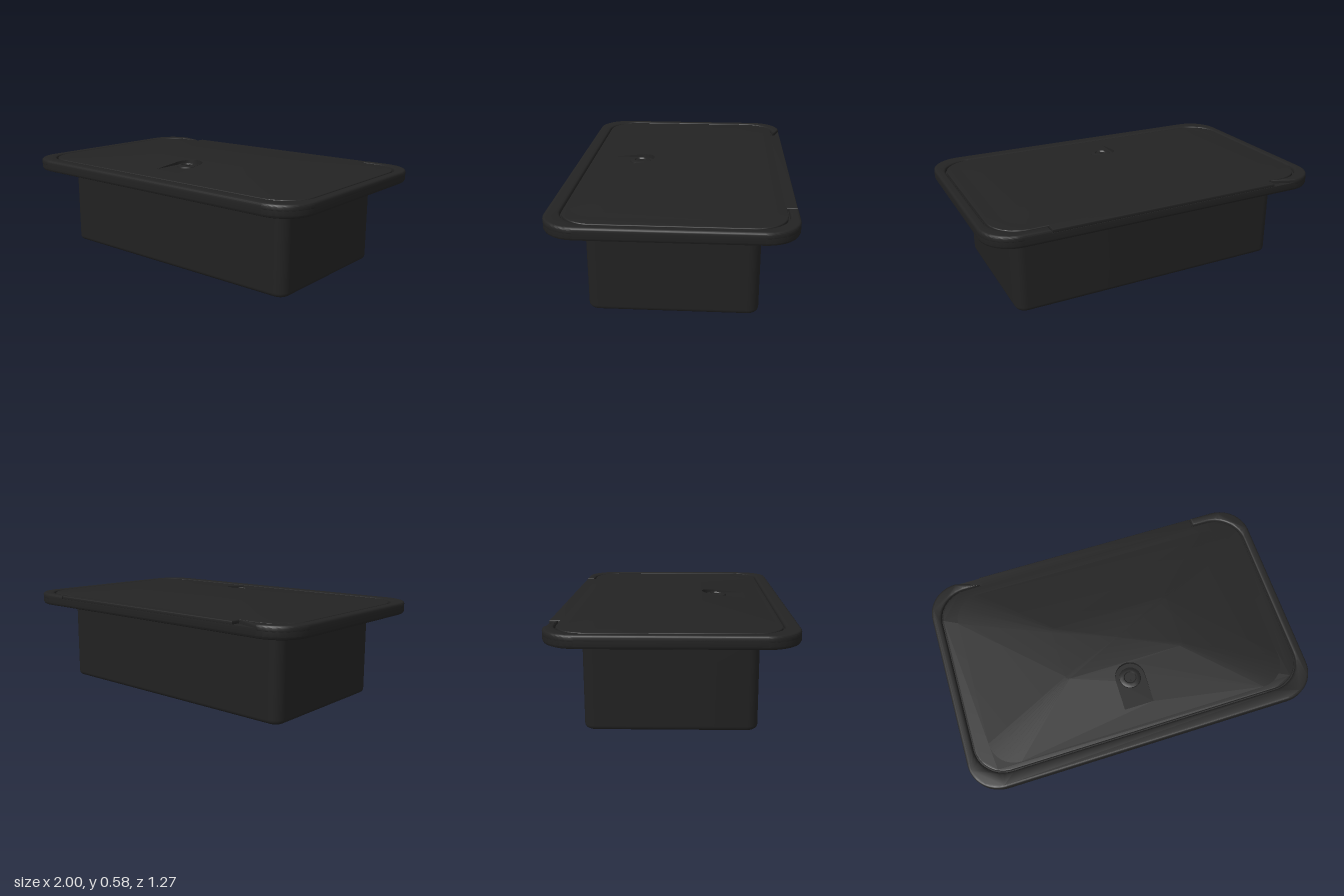
import * as THREE from 'three';
import { toCreasedNormals } from 'three/addons/utils/BufferGeometryUtils.js';

const STEPS = 8; // segments per rounded corner

// Rounded rectangle as [x, z] points, starting at the +x side
function roundedRect(hx, hz, r) {
  const pts = [];
  [[1, 1], [-1, 1], [-1, -1], [1, -1]].forEach(([sx, sz], q) => {
    for (let i = 0; i <= STEPS; i++) {
      const a = (q + i / STEPS) * Math.PI / 2;
      pts.push([sx * (hx - r) + r * Math.cos(a), sz * (hz - r) + r * Math.sin(a)]);
    }
  });
  return pts;
}

// Skin over stacked rounded rectangles [hx, hz, radius, y], from bottom to top
function loft(rings, { top = true, bottom = true, skip = -1 } = {}) {
  const pos = [], idx = [], n = 4 * (STEPS + 1);
  for (const [hx, hz, r, y] of rings) for (const [x, z] of roundedRect(hx, hz, r)) pos.push(x, y, z);
  for (let i = 0; i < rings.length - 1; i++) {
    for (let j = 0; j < n; j++) {
      if (j === skip) continue;
      const a = i * n + j, b = i * n + (j + 1) % n;
      idx.push(a, a + n, b, b, a + n, b + n);
    }
  }
  const cap = (ring, up) => {
    const c = pos.length / 3;
    pos.push(0, rings[ring][3], 0);
    for (let j = 0; j < n; j++) {
      const a = ring * n + j, b = ring * n + (j + 1) % n;
      idx.push(c, up ? b : a, up ? a : b);
    }
  };
  if (top) cap(rings.length - 1, true);
  if (bottom) cap(0, false);
  const g = new THREE.BufferGeometry();
  g.setAttribute('position', new THREE.Float32BufferAttribute(pos, 3));
  g.setIndex(idx);
  return toCreasedNormals(g, 0.5);
}

// Flat plate from a plan outline (shape y = -z) with softened edges
function plate(shape, y0, y1, bevel) {
  const g = new THREE.ExtrudeGeometry(shape, {
    depth: y1 - y0 - 2 * bevel, bevelThickness: bevel, bevelSize: bevel,
    bevelOffset: -bevel, bevelSegments: 3, curveSegments: 10,
  });
  g.rotateX(-Math.PI / 2).translate(0, y0 + bevel, 0);
  return toCreasedNormals(g, 0.6);
}

export function createModel() {
  const group = new THREE.Group();
  const black = new THREE.MeshStandardMaterial({ color: 0x232323, side: THREE.DoubleSide });
  black.name = 'black plastic';
  const add = (name, geo, parent = group) => {
    const m = new THREE.Mesh(geo, black);
    m.name = name;
    parent.add(m);
    return m;
  };
  const H = Math.PI / 2;

  // Tub: rounded foot, straight walls, flare under the flange
  const tub = new THREE.Group();
  tub.name = 'tub';
  tub.position.z = -0.005;
  group.add(tub);
  const rings = [], f = 0.025;
  for (let i = 0; i <= 4; i++) {
    const a = i / 4 * H, inset = f * (1 - Math.sin(a));
    rings.push([0.82 - inset, 0.445 - inset, 0.06 - inset, f * (1 - Math.cos(a))]);
  }
  for (let i = 0; i <= 4; i++) {
    const a = i / 4 * H, out = f * (1 - Math.cos(a));
    rings.push([0.82 + out, 0.445 + out, 0.06 + out, 0.452 + f * Math.sin(a)]);
  }
  add('tubWalls', loft(rings, { top: false, bottom: false }), tub);

  // Tub floor with two round recesses
  const floor = new THREE.Shape(roundedRect(0.795, 0.42, 0.035).map(p => new THREE.Vector2(...p)));
  for (const x of [-0.31, 0.31]) {
    floor.holes.push(new THREE.Path().absarc(x, -0.08, 0.077, 0, 2 * Math.PI, true));
    add('drainWall', new THREE.CylinderGeometry(0.077, 0.077, 0.06, 32, 1, true).translate(x, 0.03, -0.08), tub);
    add('drainEnd', new THREE.CircleGeometry(0.077, 32).rotateX(H).translate(x, 0.06, -0.08), tub);
  }
  add('tubFloor', new THREE.ShapeGeometry(floor, 16).rotateX(H), tub);

  // Flange plate
  add('flange', loft([
    [0.985, 0.62, 0.165, 0.475], [0.994, 0.629, 0.174, 0.479],
    [1, 0.635, 0.18, 0.49], [1, 0.635, 0.18, 0.525],
  ]));

  // Raised rim around the lid, open along the hinge side
  const rim = new THREE.Shape();
  rim.moveTo(-0.68, 0.635);
  rim.absarc(-0.82, 0.455, 0.18, H, 2 * H, false);
  rim.absarc(-0.82, -0.455, 0.18, 2 * H, 3 * H, false);
  rim.absarc(0.82, -0.455, 0.18, 3 * H, 4 * H, false);
  rim.absarc(0.82, 0.455, 0.18, 0, H, false);
  rim.lineTo(0.68, 0.635);
  rim.lineTo(0.68, 0.585);
  rim.absarc(0.77, 0.405, 0.18, H, 0, true);
  rim.absarc(0.77, -0.38, 0.18, 0, -H, true);
  rim.absarc(-0.77, -0.38, 0.18, -H, -2 * H, true);
  rim.absarc(-0.77, 0.405, 0.18, 2 * H, H, true);
  rim.lineTo(-0.68, 0.585);
  add('rim', plate(rim, 0.505, 0.545, 0.012));

  // Lid plate with hinge tab reaching the back edge
  const lid = new THREE.Shape();
  lid.moveTo(0.674, 0.632);
  lid.lineTo(-0.674, 0.632);
  lid.lineTo(-0.674, 0.577);
  lid.absarc(-0.77, 0.405, 0.172, H, 2 * H, false);
  lid.absarc(-0.77, -0.38, 0.172, 2 * H, 3 * H, false);
  lid.absarc(0.77, -0.38, 0.172, 3 * H, 4 * H, false);
  lid.absarc(0.77, 0.405, 0.172, 0, H, false);
  lid.lineTo(0.674, 0.577);
  add('lidPlate', plate(lid, 0.521, 0.543, 0.005));

  // Raised lid panel; its front slope is a separate face with the latch slot
  const base = [0.86, 0.525, 0.15, 0.543], crown = [0.35, 0.16, 0.02, 0.58];
  add('lidPanel', loft([base, crown], { bottom: false, skip: STEPS }));
  const slopeY = z => 0.58 - (z - 0.16) / 0.365 * 0.037;
  const slotEnd = 0.42, slotR = 0.085, slotZ = 0.25, slotY = slopeY(slotEnd);
  const slot = new THREE.Path();
  slot.moveTo(slotR, -slotEnd);
  slot.lineTo(slotR, -slotZ);
  slot.absarc(0, -slotZ, slotR, 0, Math.PI, false);
  slot.lineTo(-slotR, -slotEnd);
  const slotPts = slot.getPoints(20);
  const slope = new THREE.Shape([[-0.71, -0.525], [0.71, -0.525], [0.33, -0.16], [-0.33, -0.16]]
    .map(p => new THREE.Vector2(...p)));
  slope.holes.push(new THREE.Path(slotPts));
  const slopeGeo = new THREE.ShapeGeometry(slope).rotateX(-H);
  const sp = slopeGeo.attributes.position;
  for (let i = 0; i < sp.count; i++) sp.setY(i, slopeY(sp.getZ(i)));
  slopeGeo.computeVertexNormals();
  add('lidFrontSlope', slopeGeo);

  // Latch slot: level floor and upright walls
  add('latchFloor', new THREE.ShapeGeometry(new THREE.Shape(slotPts)).rotateX(-H).translate(0, slotY, 0));
  const wall = [], wallIdx = [];
  slotPts.forEach((p, i) => {
    wall.push(p.x, slotY, -p.y, p.x, slopeY(-p.y), -p.y);
    const a = 2 * i;
    if (i) wallIdx.push(a - 2, a, a - 1, a, a + 1, a - 1);
  });
  const wallGeo = new THREE.BufferGeometry();
  wallGeo.setAttribute('position', new THREE.Float32BufferAttribute(wall, 3));
  wallGeo.setIndex(wallIdx);
  wallGeo.computeVertexNormals();
  add('latchWall', wallGeo);

  // Round lock button with dished centre and key bar
  const profile = [[0.062, 0], [0.06, 0.008], [0.047, 0.013], [0.036, 0.013], [0.031, 0.006], [0, 0.006]]
    .map(p => new THREE.Vector2(...p));
  add('lockButton', toCreasedNormals(new THREE.LatheGeometry(profile, 32), 0.4)).position.set(0, slotY, slotZ);
  add('keyBar', new THREE.BoxGeometry(0.008, 0.006, 0.036)).position.set(0, slotY + 0.008, slotZ);

  return group;
}
